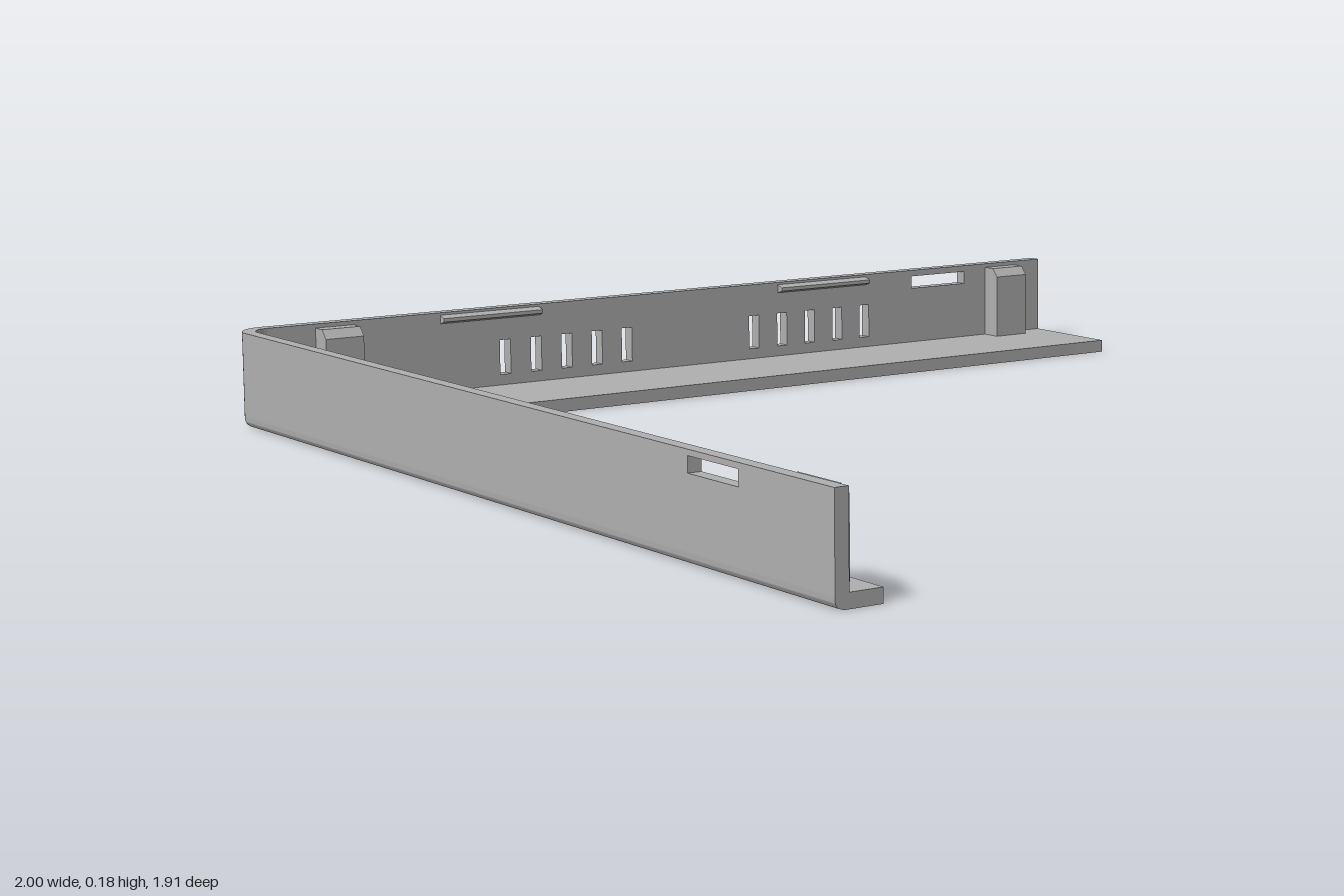
import * as THREE from 'three';
import { toCreasedNormals } from 'three/addons/utils/BufferGeometryUtils.js';

const H = 0.18, FLOOR = 0.025, T = 0.025, END = 0.955, R = 0.065;
const CX = -1 + R, CZ = END - R; // centre of the rounded outer corner

export function createModel() {
  const group = new THREE.Group();
  const grey = new THREE.MeshStandardMaterial({ color: 0xb0b0b0 });
  grey.name = 'grey plastic';

  const add = (name, geometry) => {
    const mesh = new THREE.Mesh(toCreasedNormals(geometry, 0.6), grey);
    mesh.name = name;
    group.add(mesh);
    return mesh;
  };
  const extrude = (shape, depth, steps = 1) =>
    new THREE.ExtrudeGeometry(shape, { depth, steps, bevelEnabled: false, curveSegments: 12 });
  const polygon = (pts) => new THREE.Shape(pts.map(([x, y]) => new THREE.Vector2(x, y)));
  const rect = (x0, x1, y0, y1) => polygon([[x0, y0], [x1, y0], [x1, y1], [x0, y1]]);

  // Floor: L-shaped plate with a filleted inner corner
  const plan = new THREE.Shape();
  plan.moveTo(-1, -END);
  plan.lineTo(-0.75, -END);
  plan.lineTo(-0.75, 0.75);
  plan.absarc(-0.65, 0.75, 0.1, Math.PI, Math.PI / 2, true);
  plan.lineTo(0.815, 0.85);
  plan.lineTo(0.815, 0.87);
  plan.lineTo(1, 0.87);
  plan.lineTo(1, END);
  plan.lineTo(CX, END);
  plan.absarc(CX, CZ, R, Math.PI / 2, Math.PI, false);
  plan.closePath();
  const floor = extrude(plan, FLOOR, 8).rotateX(Math.PI / 2).translate(0, FLOOR, 0);

  // Round the bottom of the outer edge, leaving the cut ends square
  const pos = floor.attributes.position, r = 0.0156;
  for (let i = 0; i < pos.count; i++) {
    const x = pos.getX(i), y = pos.getY(i), z = pos.getZ(i);
    const dx = Math.max(0, CX - x), dz = Math.max(0, z - CZ), len = Math.hypot(dx, dz);
    if (y < r && len > R - 0.003) {
      const inset = r - Math.sqrt(Math.max(0, r * r - (r - y) ** 2));
      pos.setX(i, x + (inset * dx) / len);
      pos.setZ(i, z - (inset * dz) / len);
    }
  }
  add('floor', floor);

  // Side wall with two rows of vents and one window (shape x is -z)
  const side = rect(-CZ, END, FLOOR, H);
  for (const first of [-0.383, 0.205])
    for (let i = 0; i < 5; i++) {
      const u = first + i * 0.07;
      side.holes.push(rect(u - 0.012, u + 0.012, 0.046, 0.115));
    }
  side.holes.push(rect(0.61, 0.75, 0.141, 0.167));
  add('sideWall', extrude(side, T).rotateY(Math.PI / 2).translate(-1, 0, 0));

  // Front wall with one window
  const front = rect(CX, 1, FLOOR, H);
  front.holes.push(rect(0.61, 0.75, 0.143, 0.17));
  add('frontWall', extrude(front, T).translate(0, 0, END - T));

  // Curved corner joining the walls
  const corner = new THREE.Shape();
  corner.absarc(CX, CZ, R, Math.PI / 2, Math.PI, false);
  corner.absarc(CX, CZ, R - T, Math.PI, Math.PI / 2, true);
  corner.closePath();
  add('cornerWall', extrude(corner, H - FLOOR).rotateX(Math.PI / 2).translate(0, H, 0));

  // Profiles reaching inward from a wall: [distance from wall, height]
  const post = [[0, FLOOR], [0.043, FLOOR], [0.043, 0.155], [0.028, 0.172], [0, 0.172]];
  const ridge = [[0, 0.158], [0.015, 0.163], [0.015, 0.17], [0, 0.175]];
  const onSide = (name, profile, z0, z1) =>
    add(name, extrude(polygon(profile), z1 - z0).translate(-1 + T, 0, z0));
  const onFront = (name, profile, x0, x1) =>
    add(name, extrude(polygon(profile), x1 - x0).rotateY(Math.PI / 2).translate(x0, 0, END - T));

  // Snap ridges under the rim
  onSide('sideRidgeBack', ridge, -0.49, -0.265);
  onSide('sideRidgeFront', ridge, 0.305, 0.525);
  onFront('frontRidgeRight', ridge, -0.48, -0.26);
  onFront('frontRidgeLeft', ridge, 0.24, 0.46);

  // Locating posts
  onSide('sidePostBack', post, -0.887, -0.808);
  onSide('sidePostFront', post, 0.712, 0.792);
  onFront('frontPost', post, 0.83, 0.94);

  return group;
}
